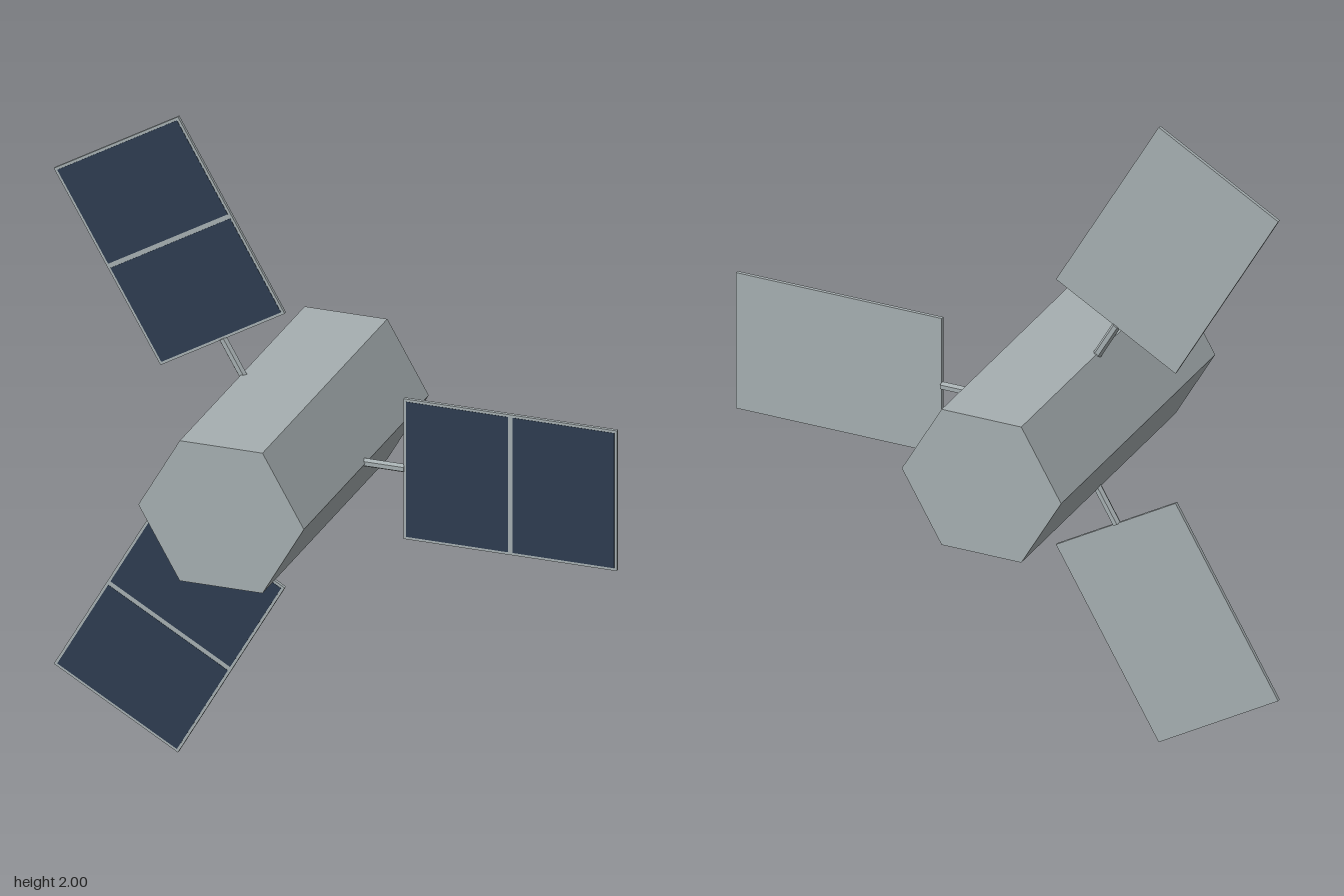
import * as THREE from 'three';

export function createModel() {
  const model = new THREE.Group();
  model.name = 'satellite';

  const material = (name, color) => {
    const m = new THREE.MeshStandardMaterial({ color, flatShading: true });
    m.name = name;
    return m;
  };
  const grey = material('hull grey', 0xa5aeb0);
  const blue = material('solar cell blue', 0x2d3c50);

  const add = (parent, name, geometry, mat, x = 0, y = 0, z = 0) => {
    const mesh = new THREE.Mesh(geometry, mat);
    mesh.name = name;
    mesh.position.set(x, y, z);
    parent.add(mesh);
  };

  // Everything radiates from the axis of the hull
  const hub = new THREE.Group();
  hub.name = 'hub';
  hub.position.set(-0.163, 1, 0);
  model.add(hub);

  // Hexagonal hull lying along z, with corners pointing to +x and -x
  const radius = 0.254;
  const hull = new THREE.CylinderGeometry(radius, radius, 1.022, 6, 1, false, Math.PI / 2);
  hull.rotateX(Math.PI / 2);
  add(hub, 'hull', hull, grey);

  // Three solar wings, one on every other corner
  const inner = 0.37, outer = 1.025, width = 0.44;
  const border = 0.008, divider = 0.014;
  const length = outer - inner, middle = (inner + outer) / 2;
  const cellLength = (length - 2 * border - divider) / 2;

  const strut = new THREE.CylinderGeometry(0.013, 0.013, inner - radius + 0.02, 6, 1, false, Math.PI / 2);
  strut.rotateZ(Math.PI / 2);
  const panel = new THREE.BoxGeometry(length, width, 0.011);
  const cell = new THREE.BoxGeometry(cellLength, width - 2 * border, 0.002);

  for (let i = 0; i < 3; i++) {
    const wing = new THREE.Group();
    wing.name = 'solarWing';
    wing.rotation.z = (i * Math.PI * 2) / 3;
    add(wing, 'strut', strut, grey, (inner + radius) / 2 - 0.008);
    add(wing, 'panelFrame', panel, grey, middle);
    for (const side of [-1, 1]) {
      add(wing, 'solarCells', cell, blue, middle + side * (cellLength + divider) / 2, 0, 0.0055);
    }
    hub.add(wing);
  }
  return model;
}
